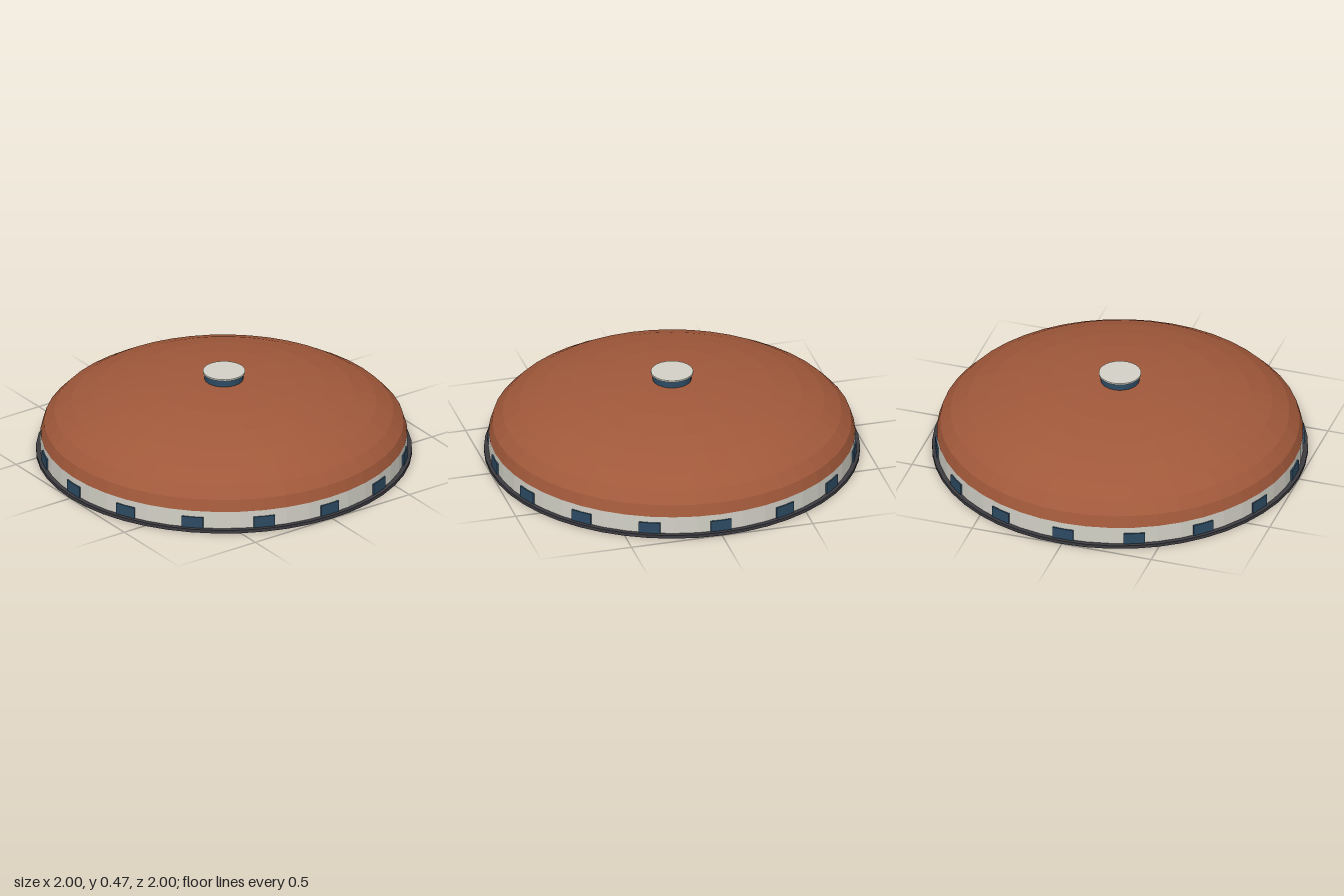
import * as THREE from 'three';

const SIDES = 48;
const WALL_R = 0.975;
const WALL_TOP = 0.115;
const BASE_H = 0.018;

const paint = (name, color, flat = true) => {
  const m = new THREE.MeshStandardMaterial({ color, flatShading: flat });
  m.name = name;
  return m;
};

export function createModel() {
  const group = new THREE.Group();
  group.name = 'domedBuilding';

  const terracotta = paint('terracotta', 0xa0583a);
  const stone = paint('paleStone', 0xd2d0c6);
  const glass = paint('blueGlass', 0x2c4a62);
  const plinth = paint('darkPlinth', 0x3a3a40);

  const add = (name, geometry, material, y = 0) => {
    const mesh = new THREE.Mesh(geometry, material);
    mesh.name = name;
    mesh.position.y = y;
    group.add(mesh);
    return mesh;
  };
  // Upright drum standing between two heights
  const drum = (name, radius, y0, y1, material, sides = SIDES) =>
    add(name, new THREE.CylinderGeometry(radius, radius, y1 - y0, sides), material, (y0 + y1) / 2);

  // Ground plate and low ring wall
  drum('basePlate', 1, 0, BASE_H, plinth);
  drum('ringWall', WALL_R, BASE_H, WALL_TOP, stone);

  // Flattened faceted roof
  const roof = new THREE.SphereGeometry(WALL_R, SIDES, 8, 0, Math.PI * 2, 0, Math.PI / 2);
  roof.scale(1, 0.315 / WALL_R, 1);
  add('domeRoof', roof, terracotta, WALL_TOP);

  // Sixteen windows spaced evenly round the wall
  const windows = new THREE.Group();
  windows.name = 'windows';
  const pane = new THREE.BoxGeometry(0.115, 0.062, 0.009);
  for (let i = 0; i < 16; i++) {
    const a = (i / 16) * Math.PI * 2;
    const mesh = new THREE.Mesh(pane, glass);
    mesh.name = 'window';
    mesh.position.set(Math.sin(a) * 0.976, 0.05, Math.cos(a) * 0.976);
    mesh.rotation.y = a;
    windows.add(mesh);
  }
  group.add(windows);

  // Glazed lantern with its cap
  drum('lantern', 0.103, 0.41, 0.466, glass, 24);
  drum('lanternCap', 0.113, 0.466, 0.475, stone, 24);

  return group;
}
